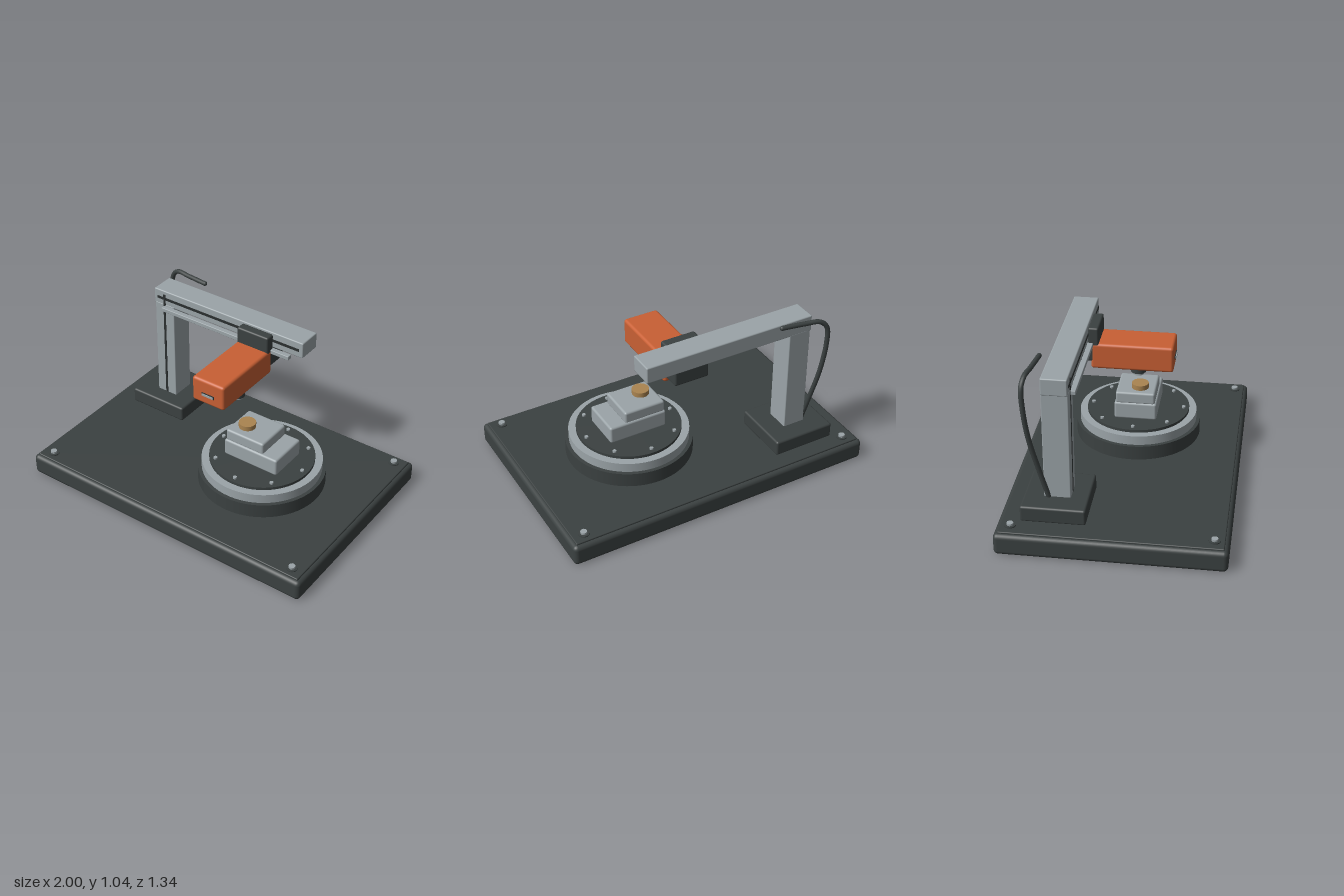
import * as THREE from 'three';
import { RoundedBoxGeometry } from 'three/addons/geometries/RoundedBoxGeometry.js';

const mat = (name, color) => {
  const m = new THREE.MeshStandardMaterial({ color });
  m.name = name;
  return m;
};

export function createModel() {
  const group = new THREE.Group();
  const dark = mat('charcoal', 0x3b4141);
  const black = mat('black rubber', 0x2b2f2f);
  const grey = mat('light metal', 0x9ba4a8);
  const orange = mat('orange housing', 0xc96034);
  const brass = mat('brass', 0xaa8450);

  const add = (name, geometry, material, x = 0, y = 0, z = 0) => {
    const mesh = new THREE.Mesh(geometry, material);
    mesh.name = name;
    mesh.position.set(x, y, z);
    group.add(mesh);
    return mesh;
  };
  // box given by its limits on each axis, with optional rounded edges
  const box = (name, material, [x0, x1], [y0, y1], [z0, z1], r = 0) => {
    const size = [x1 - x0, y1 - y0, z1 - z0];
    const geometry = r ? new RoundedBoxGeometry(...size, 3, r) : new THREE.BoxGeometry(...size);
    return add(name, geometry, material, (x0 + x1) / 2, (y0 + y1) / 2, (z0 + z1) / 2);
  };
  // upright cylinder from y0 to y1
  const disc = (name, material, x, z, r, y0, y1, sides = 64) =>
    add(name, new THREE.CylinderGeometry(r, r, y1 - y0, sides), material, x, (y0 + y1) / 2, z);

  // base plate with corner screws
  box('base', dark, [-1, 1], [0, 0.135], [-0.67, 0.67], 0.028);
  box('basePanel', dark, [-0.975, 0.975], [0.12, 0.145], [-0.645, 0.645], 0.006);
  for (const x of [-0.9, 0.9]) for (const z of [-0.585, 0.585]) {
    disc('screwWasher', dark, x, z, 0.034, 0.145, 0.151, 24);
    disc('baseScrew', grey, x, z, 0.02, 0.145, 0.164, 12);
  }

  // turntable
  const tx = 0.295;
  disc('turntableBase', dark, tx, 0, 0.395, 0.145, 0.237, 96);
  disc('turntableRing', grey, tx, 0, 0.372, 0.237, 0.297, 96);
  disc('turntableTop', dark, tx, 0, 0.325, 0.297, 0.315, 96);
  for (let i = 0; i < 8; i++) {
    const a = i * Math.PI / 4;
    disc('turntableScrew', grey, tx + 0.29 * Math.cos(a), 0.29 * Math.sin(a), 0.012, 0.315, 0.326, 12);
  }

  // stepped workpiece
  box('lowerBlock', grey, [0.105, 0.485], [0.315, 0.428], [-0.13, 0.135], 0.014);
  box('upperBlock', grey, [0.11, 0.38], [0.42, 0.498], [-0.122, 0.124], 0.014);
  disc('brassKnob', brass, 0.198, 0.023, 0.053, 0.495, 0.53, 32);

  // column and beam
  box('columnFoot', dark, [-0.848, -0.443], [0.14, 0.24], [-0.54, -0.157], 0.014);
  box('column', grey, [-0.717, -0.572], [0.23, 0.915], [-0.42, -0.263], 0.006);
  box('beam', grey, [-0.725, 0.39], [0.905, 1.01], [-0.42, -0.265], 0.008);
  box('columnGroove', black, [-0.653, -0.637], [0.24, 0.985], [-0.267, -0.261]);
  box('beamGroove', black, [-0.7, 0.365], [0.947, 0.964], [-0.268, -0.2615]);
  box('rail', grey, [-0.648, 0.31], [0.878, 0.905], [-0.267, -0.233], 0.004);

  // carriage: front plate and block under the beam
  box('carriagePlate', dark, [-0.042, 0.182], [0.785, 1.002], [-0.264, -0.2], 0.012);
  box('carriageBlock', dark, [-0.042, 0.182], [0.783, 0.904], [-0.375, -0.22], 0.012);

  // scanner head with slot and two lenses
  box('scannerHead', orange, [-0.044, 0.184], [0.735, 0.9], [-0.248, 0.252], 0.018);
  box('slotFrame', black, [0.027, 0.117], [0.794, 0.814], [0.25, 0.257]);
  box('slotWindow', grey, [0.032, 0.112], [0.798, 0.81], [0.25, 0.263]);
  for (const x of [0.012, 0.13]) {
    disc('lensBarrel', dark, x, 0.035, 0.046, 0.71, 0.74, 32);
    disc('lensRing', grey, x, 0.035, 0.034, 0.694, 0.712, 32);
    disc('lensGlass', black, x, 0.035, 0.024, 0.691, 0.695, 32);
  }

  // cable rising behind the column
  const path = new THREE.CatmullRomCurve3([
    [-0.715, 0.23, -0.39], [-0.735, 0.42, -0.438], [-0.762, 0.65, -0.488],
    [-0.776, 0.86, -0.511], [-0.765, 0.97, -0.515], [-0.72, 1.015, -0.506],
    [-0.62, 1.022, -0.488], [-0.478, 1.026, -0.468]
  ].map(p => new THREE.Vector3(...p)));
  add('cable', new THREE.TubeGeometry(path, 64, 0.015, 10), dark);
  const end = add('cableEnd', new THREE.SphereGeometry(0.015, 12, 8), dark);
  end.position.copy(path.getPoint(1));

  return group;
}
